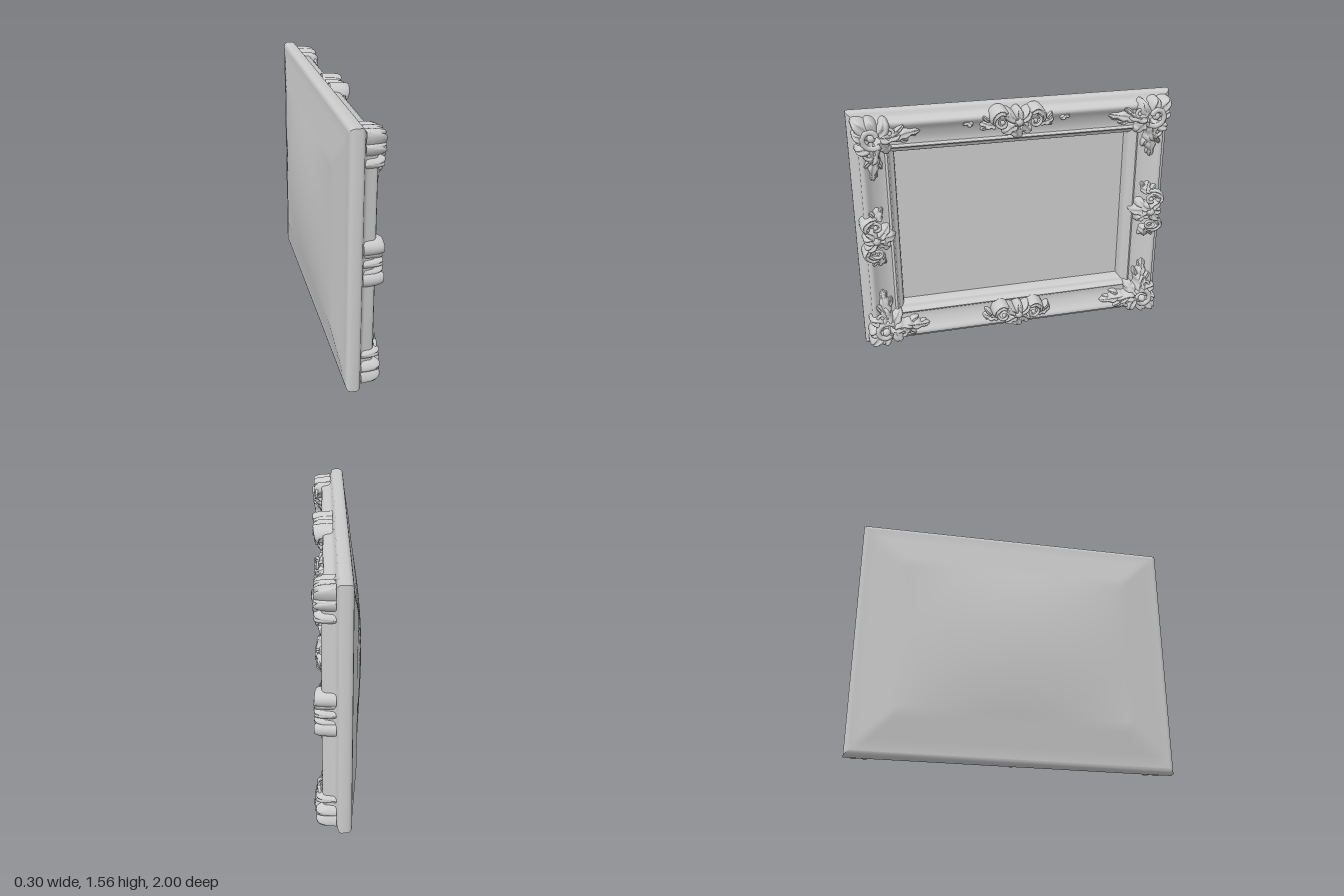
import * as THREE from 'three';
import { toCreasedNormals } from 'three/addons/utils/BufferGeometryUtils.js';

const W = 1, H = 0.78; // half width and half height of the frame
const PANEL_INSET = 0.268, PANEL_DEPTH = -0.047;
const mat = new THREE.MeshStandardMaterial({ color: 0xcccccc, side: THREE.DoubleSide });

function add(parent, geo, name) {
  const m = new THREE.Mesh(geo, mat);
  m.name = name;
  parent.add(m);
  return m;
}

// Moulding section: [inset from outer edge, depth], from the back round to the recessed panel
const section = [[0.028, -0.067], [0.014, -0.064], [0.005, -0.056], [0, -0.042], [0, -0.004], [0.004, 0.007], [0.014, 0.014],
  [0.03, 0.02], [0.042, 0.028], [0.048, 0.038], [0.053, 0.08], [0.06, 0.094], [0.072, 0.1], [0.085, 0.095],
  [0.1, 0.08], [0.125, 0.063], [0.155, 0.05], [0.185, 0.042], [0.205, 0.041], [0.21, 0.05],
  [0.219, 0.054], [0.228, 0.047], [0.234, 0.028], [0.244, 0.02], [0.252, 0.018], [0.259, 0.008],
  [0.264, -0.01], [PANEL_INSET, PANEL_DEPTH]];

// Mitred rail along the top edge of a rectangle with half sizes l, h
function railGeometry(l, h, scale) {
  const pos = [], idx = [];
  section.forEach(([inset, d], i) => {
    const z = inset > 0.05 && inset < 0.2 ? 0.03 + (d - 0.03) * scale : d;
    pos.push(inset - l, h - inset, z, l - inset, h - inset, z);
    if (i) {
      const a = 2 * i - 2;
      idx.push(a, a + 2, a + 3, a, a + 3, a + 1);
    }
  });
  const g = new THREE.BufferGeometry();
  g.setAttribute('position', new THREE.Float32BufferAttribute(pos, 3));
  g.setIndex(idx);
  return toCreasedNormals(g, 0.9);
}

// Carved leaf: a domed, ribbed and lobed strip that follows a path of [x, y] points
function leafGeometry(points, width, h0, h1, lobes) {
  const curve = new THREE.CatmullRomCurve3(points.map(([x, y]) => new THREE.Vector3(x, y, 0)));
  const nt = 20, ns = 12, base = 0.022, pos = [], idx = [];
  for (let i = 0; i <= nt; i++) {
    const t = i / nt, p = curve.getPoint(t), d = curve.getTangent(t);
    const taper = Math.pow(Math.max(0, Math.sin(Math.PI * (0.12 + 0.88 * t))), 0.6);
    const edge = 0.8 + 0.3 * Math.abs(Math.sin(lobes * Math.PI * t));
    const w = width * taper * (lobes ? edge : 1);
    const end = Math.sqrt(1 - Math.pow(t, 8)) * Math.min(1, 0.4 + 5 * t);
    const top = (h0 + (h1 - h0) * t - base) * end;
    for (let j = 0; j <= ns; j++) {
      const s = -Math.cos(Math.PI * j / ns);
      const rib = 1 - 0.18 * Math.exp(-Math.pow(s / 0.2, 2)) - (lobes ? 0.08 * Math.abs(s) * Math.cos(2 * lobes * Math.PI * t) : 0);
      const z = base + top * Math.pow(Math.max(0, 1 - s ** 4), 0.5) * rib;
      pos.push(p.x - d.y * s * w, p.y + d.x * s * w, z);
      if (i && j) {
        const a = (i - 1) * (ns + 1) + j - 1, b = a + ns + 1;
        idx.push(a, b, b + 1, a, b + 1, a + 1);
      }
    }
  }
  const g = new THREE.BufferGeometry();
  g.setAttribute('position', new THREE.Float32BufferAttribute(pos, 3));
  g.setIndex(idx);
  g.computeVertexNormals();
  return g;
}

// Spiral scroll with a bead at its eye; place() maps ornament coordinates to the frame
function addScroll(parent, place, cx, cy, r, start, turn, depth) {
  const pts = [];
  for (let i = 0; i <= 16; i++) {
    const t = i / 16, a = start + turn * t, q = r * (1 - 0.6 * t);
    const [x, y] = place([cx + q * Math.cos(a), cy + q * Math.sin(a)]);
    pts.push(new THREE.Vector3(x, y, depth + 0.01 * t));
  }
  add(parent, new THREE.TubeGeometry(new THREE.CatmullRomCurve3(pts), 36, r * 0.24, 8), 'scroll');
  const bead = add(parent, new THREE.SphereGeometry(r * 0.36, 12, 8), 'scrollEye');
  bead.position.set(...place([cx, cy]), depth);
}

// Leaves: [path, half width, height at root, height at tip, lobes]
const cornerLeaves = [
  [[[0.14, 0.14], [0.08, 0.08], [0.025, 0.03]], 0.05, 0.13, 0.15, 0],
  [[[0.15, 0.13], [0.13, 0.07], [0.11, 0.022]], 0.042, 0.13, 0.15, 0],
  [[[0.16, 0.13], [0.2, 0.09], [0.21, 0.03]], 0.045, 0.13, 0.148, 0],
  [[[0.15, 0.16], [0.2, 0.2], [0.235, 0.25]], 0.042, 0.135, 0.085, 3],
  [[[0.14, 0.17], [0.14, 0.24], [0.11, 0.31]], 0.042, 0.14, 0.13, 2],
  [[[0.2, 0.12], [0.27, 0.14], [0.34, 0.13], [0.43, 0.12]], 0.036, 0.135, 0.085, 4],
  [[[0.28, 0.14], [0.31, 0.17], [0.35, 0.18]], 0.018, 0.1, 0.075, 0],
  [[[0.33, 0.13], [0.36, 0.14], [0.4, 0.15]], 0.016, 0.09, 0.07, 0],
  [[[0.26, 0.13], [0.29, 0.1], [0.33, 0.07]], 0.02, 0.125, 0.105, 0],
];
const centreLeaves = [
  [[[0, 0.09], [0, 0.15], [0, 0.225]], 0.048, 0.147, 0.1, 3],
  [[[0, 0.1], [0, 0.06], [0, 0.018]], 0.036, 0.14, 0.15, 0],
];
const centreSideLeaves = [
  [[[0.01, 0.1], [0.05, 0.07], [0.075, 0.025]], 0.034, 0.14, 0.15, 0],
  [[[0.01, 0.11], [0.05, 0.15], [0.09, 0.185]], 0.036, 0.145, 0.1, 2],
  [[[0.06, 0.06], [0.11, 0.035], [0.15, 0.07], [0.15, 0.13]], 0.029, 0.15, 0.135, 0],
  [[[0.13, 0.12], [0.18, 0.12], [0.235, 0.1]], 0.03, 0.12, 0.085, 3],
  [[[0.17, 0.12], [0.2, 0.14], [0.225, 0.15]], 0.015, 0.09, 0.07, 0],
  [[[0.17, 0.1], [0.2, 0.075], [0.215, 0.06]], 0.015, 0.115, 0.1, 0],
];
const sprigLeaves = [[[[0.27, 0.12], [0.3, 0.1], [0.34, 0.105]], 0.024, 0.09, 0.08, 2]];

function addLeaves(parent, list, place) {
  for (const [path, w, h0, h1, lobes] of list)
    add(parent, leafGeometry(path.map(place), w, h0, h1, lobes), 'leaf');
}

export function createModel() {
  const model = new THREE.Group();
  const frame = new THREE.Group();
  frame.name = 'pictureFrame';
  frame.rotation.y = Math.PI / 2;
  frame.position.y = H;
  model.add(frame);

  // Four mitred rails
  for (let k = 0; k < 4; k++) {
    const upright = k % 2;
    const rail = add(frame, upright ? railGeometry(H, W, 1) : railGeometry(W, H, 0.8), upright ? 'sideRail' : 'crossRail');
    rail.rotation.z = k * Math.PI / 2;
  }

  // Recessed picture panel
  const pw = W - PANEL_INSET, ph = H - PANEL_INSET;
  add(frame, new THREE.PlaneGeometry(2 * pw, 2 * ph), 'picturePanel').position.z = PANEL_DEPTH;

  // Back: a sloping border around a gently domed centre
  const back = new THREE.PlaneGeometry(2 * W - 0.056, 2 * H - 0.056, 56, 44).rotateY(Math.PI);
  const bp = back.attributes.position;
  for (let i = 0; i < bp.count; i++) {
    const x = Math.abs(bp.getX(i)), y = Math.abs(bp.getY(i));
    const border = Math.min(1, Math.max(0, Math.min(W - x, H - y) - 0.05) / (PANEL_INSET - 0.05));
    const dome = Math.max(0, 1 - (x / pw) ** 2) * Math.max(0, 1 - (y / ph) ** 2);
    bp.setZ(i, -0.067 - 0.034 * border - 0.05 * dome);
  }
  back.computeVertexNormals();
  add(frame, back, 'backPanel');

  // Corner ornaments, mirrored into the four corners
  for (const sx of [-1, 1]) for (const sy of [-1, 1]) {
    const corner = new THREE.Group();
    corner.name = 'cornerOrnament';
    frame.add(corner);
    const place = ([u, v]) => [sx * (W - u), sy * (H - v)];
    const swapped = ([u, v]) => place([v, u]);
    addLeaves(corner, cornerLeaves, place);
    addLeaves(corner, cornerLeaves.slice(1, 3).concat(cornerLeaves.slice(4)), swapped);
    addScroll(corner, place, 0.13, 0.13, 0.07, 0.8, 5.2, 0.122);
    addScroll(corner, place, 0.235, 0.115, 0.042, 2.6, 4.6, 0.112);
    addScroll(corner, swapped, 0.235, 0.115, 0.042, 2.6, 4.6, 0.112);
  }

  // Ornaments at the middle of each rail; a = along the rail, b = inset
  const centres = [
    ['topOrnament', (a, b) => [a, H - b]],
    ['bottomOrnament', (a, b) => [a, -H + 0.235 - b]],
    ['rightOrnament', (a, b) => [W - 0.015 - b, a * 0.85]],
    ['leftOrnament', (a, b) => [-W + 0.015 + b, a * 0.85]],
  ];
  for (const [name, at] of centres) {
    const centre = new THREE.Group();
    centre.name = name;
    frame.add(centre);
    addLeaves(centre, centreLeaves, ([a, b]) => at(a, b));
    for (const s of [-1, 1]) {
      const place = ([a, b]) => at(s * a, b);
      addLeaves(centre, centreSideLeaves, place);
      addScroll(centre, place, 0.1, 0.1, 0.042, -1.2, 5, 0.115);
    }
    add(centre, new THREE.SphereGeometry(0.026, 14, 10), 'boss').position.set(...at(0, 0.1), 0.122);
  }

  // Small loose sprigs beside the top ornament
  for (const s of [-1, 1]) addLeaves(frame, sprigLeaves, ([a, b]) => [s * a, H - b]);

  return model;
}
